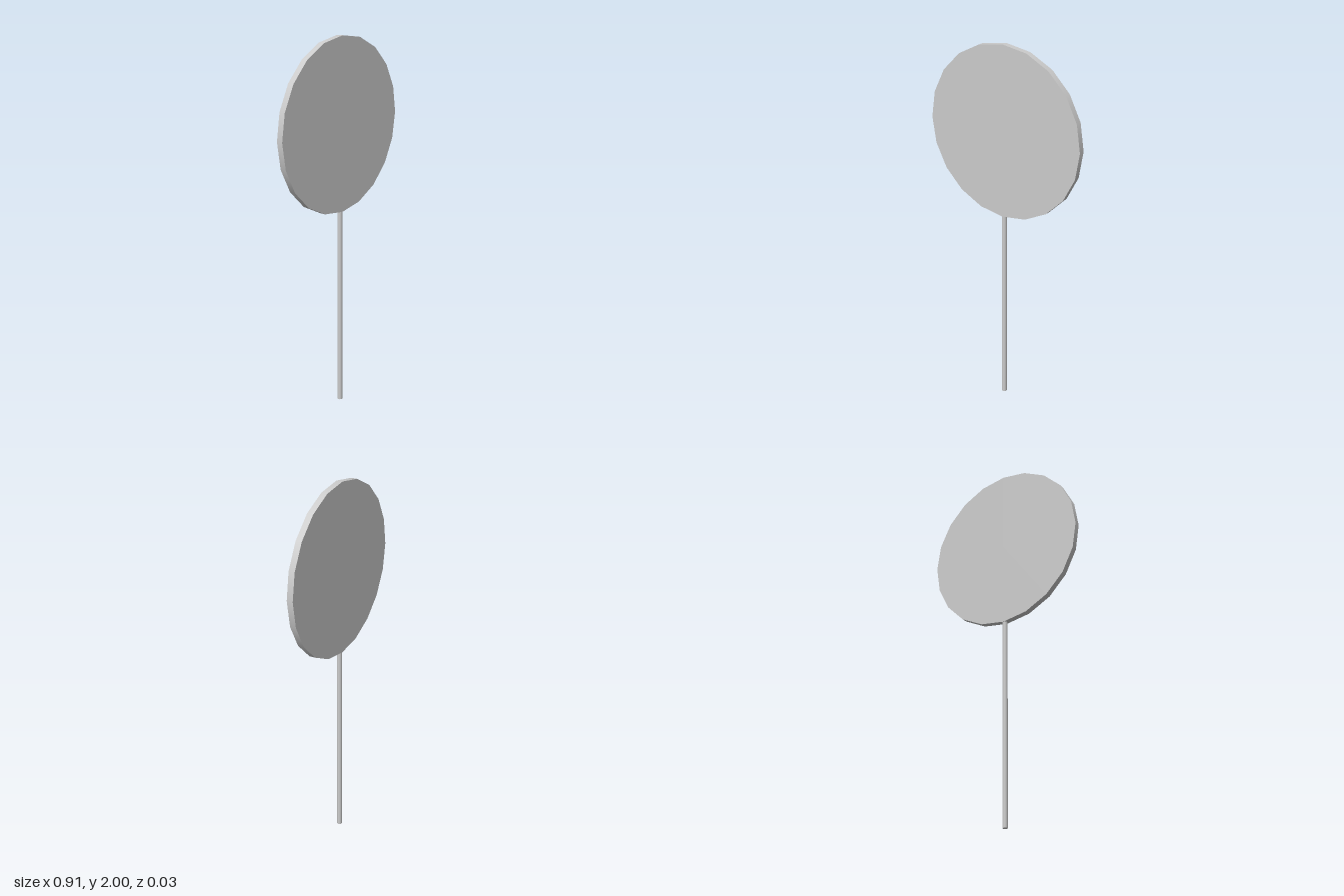
import * as THREE from 'three';

export function createModel() {
  const group = new THREE.Group();
  const material = new THREE.MeshStandardMaterial({ color: 0xcccccc });
  const radius = 0.453, thickness = 0.033, centreY = 2 - radius;

  // Round flat head, a 20-sided disc facing front and back
  const disc = new THREE.Mesh(
    new THREE.CylinderGeometry(radius, radius, thickness, 20).rotateX(Math.PI / 2), material);
  disc.name = 'disc';
  disc.position.y = centreY;

  // Thin stick, ending just inside the disc's rim
  const stickHeight = centreY - radius + 0.01;
  const stick = new THREE.Mesh(
    new THREE.CylinderGeometry(0.0135, 0.0135, stickHeight, 12), material);
  stick.name = 'stick';
  stick.position.y = stickHeight / 2;

  group.add(disc, stick);
  return group;
}
